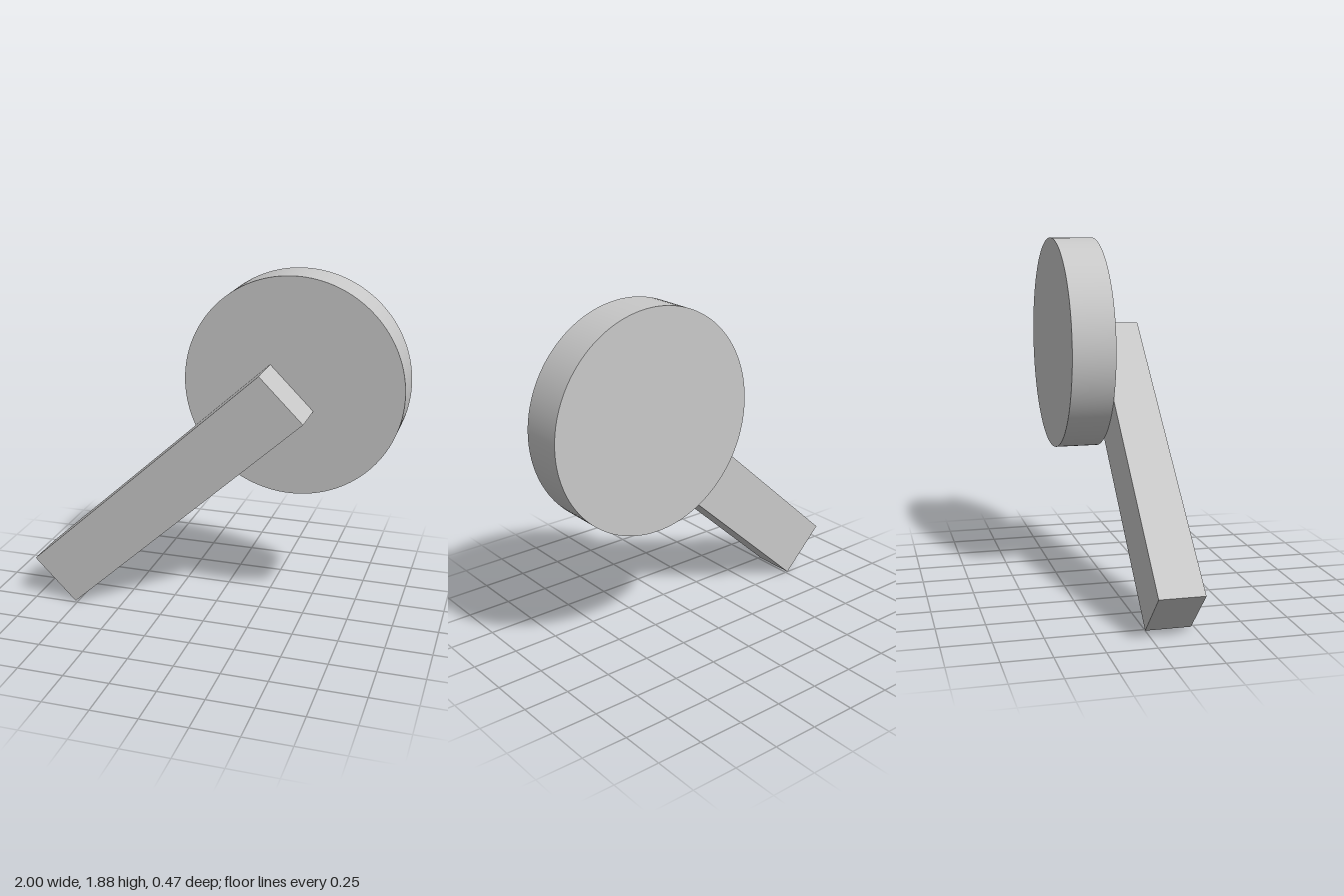
import * as THREE from 'three';

const DEPTH = 0.235;

export function createModel() {
  const model = new THREE.Group();
  const grey = new THREE.MeshStandardMaterial({ color: 0xc8c8c8 });
  grey.name = 'lightGrey';

  // Slanted bar with slightly skewed ends, in front of the disc
  const outline = new THREE.Shape([
    new THREE.Vector2(-1, 0.236),
    new THREE.Vector2(-0.765, 0),
    new THREE.Vector2(0.527, 1.18),
    new THREE.Vector2(0.292, 1.414),
  ]);
  const bar = new THREE.Mesh(
    new THREE.ExtrudeGeometry(outline, { depth: DEPTH, bevelEnabled: false }), grey);
  bar.name = 'handleBar';
  model.add(bar);

  // Round disc centred on the bar's upper end
  const disc = new THREE.Mesh(new THREE.CylinderGeometry(0.588, 0.588, DEPTH, 128), grey);
  disc.name = 'disc';
  disc.rotation.x = Math.PI / 2;
  disc.position.set(0.412, 1.297, -DEPTH / 2);
  model.add(disc);

  return model;
}
